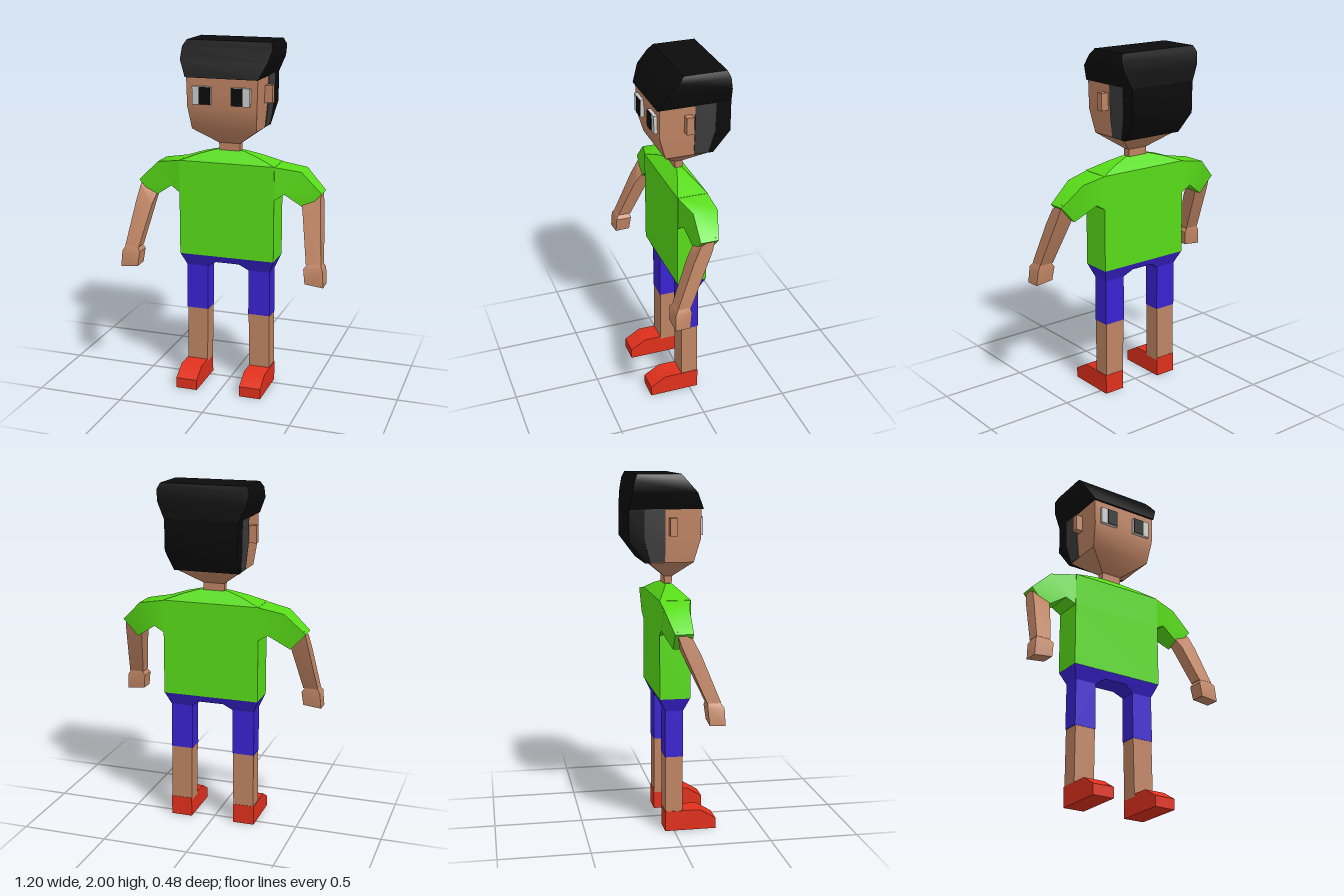
import * as THREE from 'three';
import { toCreasedNormals } from 'three/addons/utils/BufferGeometryUtils.js';

const paint = (color) => new THREE.MeshStandardMaterial({ color });
const skin = paint(0xbf8463), green = paint(0x58dc18), blue = paint(0x3a22d0), red = paint(0xe0301c);
const black = paint(0x0b0b0b), grey = paint(0x3c3c3c), white = paint(0xf4f4f4);

// Rectangular cross-section at height y
const ring = (y, x0, x1, z0, z1) => [[x0, y, z0], [x1, y, z0], [x1, y, z1], [x0, y, z1]];
// Same, centred on x = 0
const wide = (y, x, z0, z1) => ring(y, -x, x, z0, z1);
// Upright section across x, from a lower edge to an upper edge, each with its own z range
const slice = (xb, yb, zb0, zb1, xt, yt, zt0 = zb0, zt1 = zb1) =>
  [[xb, yb, zb0], [xb, yb, zb1], [xt, yt, zt1], [xt, yt, zt0]];

// Joins four-cornered sections into a closed solid whose faces point outward
function loft(rings) {
  const tris = [];
  const quad = (a, b, c, d) => tris.push([a, b, c], [a, c, d]);
  for (let i = 0; i + 1 < rings.length; i++) {
    for (let k = 0; k < 4; k++) {
      const n = (k + 1) % 4;
      quad(rings[i][k], rings[i + 1][k], rings[i + 1][n], rings[i][n]);
    }
  }
  const last = rings[rings.length - 1];
  quad(...rings[0]);
  quad(last[3], last[2], last[1], last[0]);
  const v = (p) => new THREE.Vector3(...p);
  const origin = v(rings[0][0]);
  const volume = tris.reduce((sum, t) => {
    const [a, b, c] = t.map((p) => v(p).sub(origin));
    return sum + a.dot(b.cross(c));
  }, 0);
  if (volume < 0) tris.forEach((t) => t.reverse());
  const geometry = new THREE.BufferGeometry();
  geometry.setAttribute('position', new THREE.Float32BufferAttribute(tris.flat(2), 3));
  return toCreasedNormals(geometry, 0.7);
}

export function createModel() {
  const model = new THREE.Group();
  const add = (name, material, rings) => {
    const mesh = new THREE.Mesh(loft(rings), material);
    mesh.name = name;
    model.add(mesh);
  };
  // Adds a part on the left (+x) and its mirror image on the right
  const pair = (name, material, rings) => {
    add('left' + name, material, rings);
    add('right' + name, material, rings.map((r) => r.map(([x, y, z]) => [-x, y, z])));
  };

  // Head with tapering jaw and slim neck
  add('head', skin, [
    wide(1.36, 0.06, -0.02, 0.02), wide(1.43, 0.062, -0.022, 0.022),
    wide(1.52, 0.187, -0.13, 0.12), wide(1.65, 0.2, -0.2, 0.157), wide(1.83, 0.205, -0.2, 0.157),
  ]);
  pair('Ear', skin, [ring(1.668, 0.19, 0.245, -0.02, 0.02), ring(1.765, 0.19, 0.245, -0.02, 0.02)]);
  pair('Eye', white, [ring(1.665, 0.058, 0.165, 0.14, 0.176), ring(1.765, 0.058, 0.165, 0.14, 0.176)]);
  pair('Pupil', black, [ring(1.668, 0.06, 0.125, 0.15, 0.18), ring(1.762, 0.06, 0.125, 0.15, 0.18)]);

  // Hair: flared top, back of the head and shaved sides
  add('hairTop', black, [
    wide(1.81, 0.208, -0.24, 0.17), wide(1.9, 0.25, -0.228, 0.13),
    wide(1.965, 0.26, -0.215, 0.07), wide(2, 0.243, -0.2, 0.04),
  ]);
  add('hairBack', black, [
    wide(1.518, 0.188, -0.15, -0.118), wide(1.64, 0.206, -0.24, -0.155), wide(1.815, 0.208, -0.24, -0.155),
  ]);
  add('shavedSides', grey, [
    wide(1.522, 0.191, -0.12, -0.04), wide(1.65, 0.205, -0.156, -0.04), wide(1.815, 0.209, -0.156, -0.04),
  ]);

  // Shirt with sloping shoulders
  add('shirt', green, [
    wide(0.775, 0.28, -0.086, 0.086), wide(1.14, 0.28, -0.086, 0.086), wide(1.325, 0.28, -0.086, 0.086),
    wide(1.365, 0.17, -0.045, 0.045), wide(1.39, 0.08, -0.018, 0.018),
  ]);
  pair('Sleeve', green, [
    slice(0.27, 1.13, -0.086, 0.086, 0.27, 1.325),
    slice(0.335, 1.17, -0.088, 0.07, 0.425, 1.3, -0.088, 0.05),
    slice(0.455, 1.09, -0.045, 0.05, 0.542, 1.185, -0.05, 0.05),
  ]);

  // Arms hang outward and forward, ending in a blunt fist
  pair('Arm', skin, [
    [[0.43, 1.15, -0.03], [0.53, 1.2, -0.04], [0.535, 1.16, 0.045], [0.43, 1.12, 0.05]],
    [[0.45, 1.08, -0.005], [0.543, 1.12, -0.015], [0.548, 1.07, 0.09], [0.45, 1.05, 0.095]],
    ring(0.82, 0.495, 0.58, 0.115, 0.19),
  ]);
  pair('Hand', skin, [
    ring(0.825, 0.505, 0.575, 0.12, 0.185), ring(0.795, 0.485, 0.592, 0.115, 0.205),
    [[0.495, 0.715, 0.125], [0.6, 0.703, 0.125], [0.6, 0.7, 0.21], [0.495, 0.712, 0.21]],
  ]);

  // Shorts: hips arch over the gap between the legs
  const hip = [
    slice(0.07, 0.735, -0.066, 0.066, 0.07, 0.776, -0.085, 0.085),
    slice(0.123, 0.7, -0.05, 0.05, 0.123, 0.776, -0.085, 0.085),
    slice(0.25, 0.7, -0.05, 0.05, 0.28, 0.776, -0.085, 0.085),
  ];
  const otherHip = hip.map((r) => r.map(([x, y, z]) => [-x, y, z])).reverse();
  add('hips', blue, [...otherHip, ...hip]);
  pair('ShortsLeg', blue, [ring(0.435, 0.123, 0.252, -0.051, 0.051), ring(0.705, 0.123, 0.25, -0.05, 0.05)]);
  pair('Shin', skin, [ring(0.1, 0.13, 0.252, -0.049, 0.049), ring(0.44, 0.125, 0.249, -0.049, 0.049)]);

  // Shoes, each lofted from heel to toe
  const shoeSlice = (z, y) => [[0.13, 0, z], [0.255, 0, z], [0.255, y, z], [0.13, y, z]];
  pair('Shoe', red, [shoeSlice(-0.051, 0.115), shoeSlice(0.15, 0.115), shoeSlice(0.24, 0.06)]);

  return model;
}
